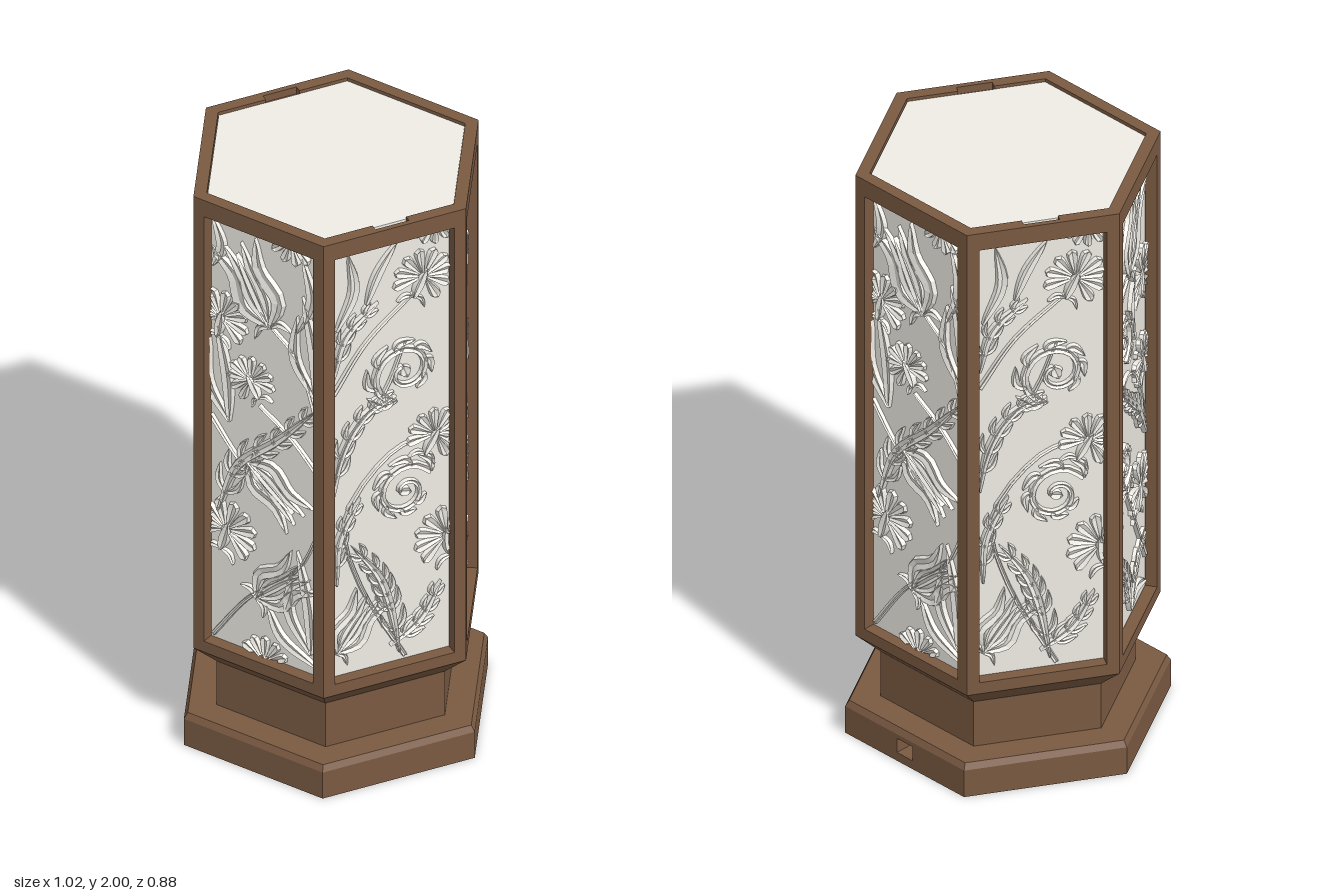
import * as THREE from 'three';

const wood = new THREE.MeshStandardMaterial({ color: 0x7a5a42, flatShading: true });
const pale = new THREE.MeshStandardMaterial({ color: 0xf0ede6, flatShading: true, side: THREE.DoubleSide });
const C30 = Math.cos(Math.PI / 6), RAD = Math.PI / 180;
const WIN = { x: 0.2, y0: 0.385, y1: 1.94 };

function add(parent, name, geo, mat = wood) {
  const m = new THREE.Mesh(geo, mat);
  m.name = name;
  parent.add(m);
  return m;
}

// Six-sided prism or frustum with corners on the x axis
function hexPrism(r0, r1, y0, y1, open = false) {
  return new THREE.CylinderGeometry(r1, r0, y1 - y0, 6, 1, open, Math.PI / 6).translate(0, (y0 + y1) / 2, 0);
}

function hexPoints(r) {
  return Array.from({ length: 6 }, (_, i) => new THREE.Vector2(r * Math.cos(i * 60 * RAD), r * Math.sin(i * 60 * RAD)));
}

function rectPath(x0, y0, x1, y1) {
  return new THREE.Path([[x0, y0], [x1, y0], [x1, y1], [x0, y1]].map(p => new THREE.Vector2(...p)));
}

// One wall of a hexagonal box: mitred at the ends, optionally pierced
function wall(r, thick, y0, y1, hole) {
  const s = new THREE.Shape(rectPath(-r / 2, y0, r / 2, y1).getPoints());
  if (hole) s.holes.push(hole);
  const g = new THREE.ExtrudeGeometry(s, { depth: thick, bevelEnabled: false });
  const p = g.attributes.position, inner = r / 2 - thick * Math.tan(30 * RAD);
  for (let i = 0; i < p.count; i++) {
    if (p.getZ(i) < thick / 2 && Math.abs(p.getX(i)) > r / 2 - 1e-4) p.setX(i, Math.sign(p.getX(i)) * inner);
  }
  g.translate(0, 0, r * C30 - thick);
  g.computeVertexNormals();
  return g;
}

// Width rules for the carved strokes
const WIDTH = {
  stem: t => 1 - 0.5 * t,
  leaf: t => Math.pow(Math.sin(Math.PI * Math.min(1, 0.04 + 0.96 * t)), 0.8),
  petal: t => (0.15 + 0.85 * t) * Math.sqrt(1 - Math.pow(t, 6)),
};

// Collects carved strokes of one panel in panel coordinates (x across, y up)
function carver() {
  const pos = [], idx = [];
  const section = [[-1, 0], [-0.75, 1], [0, 0.55], [0.75, 1], [1, 0]];

  function stroke(pts, w, kind = 'leaf', h = 0.013, n = 10) {
    const curve = new THREE.CatmullRomCurve3(pts.map(p => new THREE.Vector3(p[0], p[1], 0)));
    const base = pos.length / 3;
    for (let i = 0; i <= n; i++) {
      const t = i / n, c = curve.getPoint(t), d = curve.getTangent(t), k = w * WIDTH[kind](t);
      for (const [a, z] of section) {
        const x = c.x - d.y * a * k, y = c.y + d.x * a * k;
        const cx = THREE.MathUtils.clamp(x, -WIN.x, WIN.x), cy = THREE.MathUtils.clamp(y, WIN.y0, WIN.y1);
        pos.push(cx, cy, cx === x && cy === y ? z * h : 0);
      }
    }
    for (let i = 0; i < n; i++) for (let j = 0; j < 4; j++) {
      const a = base + i * 5 + j, b = a + 5;
      idx.push(a, b, b + 1, a, b + 1, a + 1);
    }
  }

  // Local frame: angle 0 points up, positive leans to +x
  const at = (x, y, deg, s) => (u, v) => {
    const c = Math.cos(deg * RAD), n = Math.sin(deg * RAD);
    return [x + s * (u * c + v * n), y + s * (v * c - u * n)];
  };
  const stem = pts => stroke(pts, 0.008, 'stem', 0.012, 16);

  function tulip(x, y, deg, s) {
    const L = at(x, y, deg, s);
    for (const m of [-1, 1]) {
      stroke([L(0, 0), L(m * 0.27, 0.3), L(m * 0.2, 0.7), L(m * 0.36, 1.1)], s * 0.11);
      stroke([L(0, 0.05), L(m * 0.1, 0.35), L(m * 0.08, 0.7), L(m * 0.13, 1.08)], s * 0.08);
      stroke([L(0, 0), L(m * 0.15, 0.02), L(m * 0.28, -0.1)], s * 0.045);
    }
    stroke([L(0, 0), L(0, 0.5), L(0, 0.95)], s * 0.06, 'leaf', 0.016);
  }

  function carnation(x, y, deg, s) {
    for (let i = -4; i <= 4; i++) {
      const L = at(x, y, deg + i * 29, s), b = i * 0.02;
      stroke([L(0, 0.16), L(b, 0.6), L(b * 2, 1)], s * 0.24, 'petal', 0.014, 8);
    }
    const L = at(x, y, deg, s);
    stroke([L(0, -0.75), L(0, -0.3), L(0, 0.3)], s * 0.17, 'leaf', 0.017);
    for (const m of [-1, 1]) stroke([L(0, -0.7), L(m * 0.3, -0.75), L(m * 0.5, -1)], s * 0.08);
  }

  // Spiral tendril edged with curling leaflets
  function scroll(x, y, r, deg, dir = 1) {
    const P = (t, k = 1, o = 0) => {
      const a = (deg + dir * (t * 500 + o)) * RAD, q = r * k * (1 - 0.8 * t);
      return [x + q * Math.sin(a), y + q * Math.cos(a)];
    };
    stroke(Array.from({ length: 14 }, (_, i) => P(i / 13)), r * 0.13, 'stem', 0.014, 28);
    for (let i = 0; i < 7; i++) {
      const t = i * 0.09;
      stroke([P(t), P(t, 1.22, 14), P(t, 1.3, 42)], r * 0.13);
    }
    stroke([P(1), [x, y], P(1, 1, 180)], r * 0.2);
  }

  // Long feathered leaf with serrated side lobes
  function frond(pts, w, lobes = 6) {
    stroke(pts, w * 0.45, 'leaf', 0.015, 14);
    const c = new THREE.CatmullRomCurve3(pts.map(p => new THREE.Vector3(p[0], p[1], 0)));
    for (let i = 1; i <= lobes; i++) for (const m of [-1, 1]) {
      const t = i / (lobes + 1), p = c.getPoint(t), d = c.getTangent(t), q = w * (1.5 - 0.8 * t);
      const L = (a, b) => [p.x + q * (d.x * b - d.y * a * m), p.y + q * (d.y * b + d.x * a * m)];
      stroke([L(0, 0), L(0.6, 0.6), L(0.8, 1.7)], w * 0.3, 'leaf', 0.012, 6);
    }
  }

  function geometry() {
    const g = new THREE.BufferGeometry();
    g.setAttribute('position', new THREE.Float32BufferAttribute(pos, 3));
    g.setIndex(idx);
    g.computeVertexNormals();
    return g;
  }
  return { stroke, stem, tulip, carnation, scroll, frond, geometry };
}

function tulipPanel() {
  const c = carver();
  c.stem([[-0.19, 0.4], [-0.06, 0.58], [0.12, 0.75], [0.2, 0.92]]);
  c.stem([[0.2, 1.3], [0.12, 1.52], [0.03, 1.6]]);
  c.stem([[0.2, 1.12], [0.1, 1.22], [-0.02, 1.3]]);
  c.stem([[-0.2, 1.2], [-0.1, 1.08], [0.02, 0.98]]);
  c.tulip(0.02, 1.6, -28, 0.27);
  c.tulip(-0.06, 1.08, 128, 0.22);
  c.tulip(-0.03, 0.59, 48, 0.22);
  c.carnation(-0.16, 1.57, 10, 0.1);
  c.carnation(-0.05, 1.38, -30, 0.085);
  c.carnation(-0.14, 0.8, 15, 0.11);
  c.carnation(0, 0.37, 0, 0.09);
  c.carnation(0.1, 1.95, 200, 0.09);
  c.frond([[-0.17, 0.86], [-0.1, 1.05], [0.05, 1.2], [0.19, 1.36]], 0.04, 7);
  for (const [x, y] of [[0.19, 1.4], [0.17, 0.46], [-0.13, 1.2]]) {
    c.stroke([[x, y], [x - 0.08, y + 0.12], [x - 0.07, y + 0.28]], 0.022);
    c.stroke([[x, y], [x - 0.01, y + 0.16], [x - 0.05, y + 0.36]], 0.022);
  }
  c.stroke([[0.19, 0.42], [0.06, 0.48], [0.01, 0.58]], 0.02);
  c.stroke([[-0.19, 1.75], [-0.16, 1.83], [-0.19, 1.93]], 0.02);
  c.stroke([[0.12, 1.62], [0.17, 1.75], [0.14, 1.9]], 0.02);
  return c.geometry();
}

function scrollPanel() {
  const c = carver();
  c.stem([[0.05, 0.4], [-0.1, 0.7], [-0.15, 0.95], [0, 1.15], [0.17, 1.2]]);
  c.stem([[-0.2, 1.05], [-0.13, 1.25], [-0.02, 1.38], [0.05, 1.55]]);
  c.stem([[-0.19, 1.42], [-0.08, 1.58], [0.08, 1.72]]);
  c.scroll(0.05, 1.44, 0.11, 200);
  c.scroll(0.05, 1.0, 0.1, 60, -1);
  c.carnation(0.11, 1.77, 25, 0.1);
  c.carnation(0.15, 1.18, 30, 0.095);
  c.carnation(0.19, 0.8, -10, 0.11);
  c.carnation(0.15, 1.96, 180, 0.08);
  c.tulip(-0.18, 0.47, 35, 0.2);
  c.frond([[0.03, 0.42], [0.0, 0.6], [-0.04, 0.72], [-0.13, 0.85]], 0.036);
  c.frond([[-0.19, 1.05], [-0.16, 1.2], [-0.08, 1.32], [0.02, 1.36]], 0.032);
  c.frond([[-0.19, 1.48], [-0.15, 1.62], [-0.04, 1.72]], 0.03, 4);
  c.frond([[0.0, 0.45], [0.1, 0.52], [0.17, 0.64]], 0.03, 4);
  c.frond([[-0.18, 0.72], [-0.17, 0.88], [-0.1, 1.02]], 0.03, 4);
  c.stroke([[-0.18, 1.65], [-0.12, 1.78], [-0.14, 1.92]], 0.02);
  c.stroke([[-0.08, 1.72], [-0.04, 1.82], [0.02, 1.92]], 0.018);
  return c.geometry();
}

function mixedPanel() {
  const c = carver();
  c.stem([[0.19, 0.5], [0.05, 0.72], [-0.05, 0.88], [-0.17, 1.1]]);
  c.stem([[-0.18, 1.2], [-0.02, 1.28], [0.12, 1.15], [0.19, 0.95]]);
  c.stem([[-0.18, 1.5], [-0.1, 1.58], [0, 1.63]]);
  c.tulip(-0.02, 1.63, 22, 0.27);
  c.carnation(0.13, 1.55, 10, 0.1);
  c.carnation(0.14, 1.24, -20, 0.09);
  c.carnation(0.11, 0.8, 10, 0.11);
  c.carnation(-0.19, 1.18, 10, 0.09);
  c.carnation(-0.19, 0.8, 10, 0.1);
  c.carnation(0.18, 1.95, 200, 0.08);
  c.scroll(-0.07, 1.42, 0.09, 160, -1);
  c.scroll(-0.06, 0.97, 0.09, 120);
  c.frond([[0.0, 0.42], [-0.04, 0.55], [-0.12, 0.66]], 0.036, 5);
  c.frond([[0.18, 0.95], [0.1, 1.08], [0.0, 1.17], [-0.12, 1.28]], 0.034);
  c.frond([[0.02, 0.45], [0.08, 0.55], [0.17, 0.6]], 0.03, 4);
  c.stroke([[-0.17, 1.52], [-0.16, 1.68], [-0.08, 1.84]], 0.022);
  c.stroke([[0.06, 1.36], [0.02, 1.48], [0.05, 1.6]], 0.02);
  c.stroke([[0.18, 0.42], [0.08, 0.45], [0.02, 0.42]], 0.02);
  return c.geometry();
}

export function createModel() {
  const model = new THREE.Group();
  model.name = 'hexagonalLantern';

  // Plinth walls, with a cable hole at the back
  for (let i = 0; i < 6; i++) {
    const hole = i === 3 ? rectPath(-0.033, 0.03, 0.033, 0.08) : null;
    add(model, 'plinthWall', wall(0.51, 0.07, 0, 0.095, hole)).rotation.y = i * 60 * RAD;
  }
  add(model, 'plinthChamfer', hexPrism(0.51, 0.497, 0.095, 0.115));
  add(model, 'neck', hexPrism(0.4, 0.4, 0.115, 0.275));
  add(model, 'corbel', hexPrism(0.4, 0.478, 0.275, 0.345));

  // Underside plate with a round slotted cover
  const plate = new THREE.Shape(hexPoints(0.45));
  plate.holes.push(new THREE.Path().absarc(0, 0, 0.36, 0, Math.PI * 2, true));
  const cover = new THREE.Shape().absarc(0, 0, 0.356, 0, Math.PI * 2, false);
  cover.holes.push(rectPath(-0.075, -0.006, 0.075, 0.006));
  for (const [name, shape] of [['bottomPlate', plate], ['bottomCover', cover]]) {
    const g = new THREE.ExtrudeGeometry(shape, { depth: 0.015, bevelEnabled: false, curveSegments: 32 });
    add(model, name, g.rotateX(Math.PI / 2).translate(0, 0.015, 0));
  }

  // Window frames and carved panels; three designs repeat twice around
  const designs = [tulipPanel(), scrollPanel(), mixedPanel()];
  for (let i = 0; i < 6; i++) {
    const side = new THREE.Group();
    side.name = 'lanternSide';
    side.rotation.y = i * 60 * RAD;
    add(side, 'windowFrame', wall(0.478, 0.039, 0.345, 1.975, rectPath(-WIN.x, WIN.y0, WIN.x, WIN.y1)));
    add(side, 'floralRelief', designs[i % 3], pale).position.z = 0.3735;
    model.add(side);
  }
  add(model, 'diffuser', hexPrism(0.431, 0.431, 0.345, 1.99), pale);

  // Top rim with two finger notches on opposite sides
  const rim = new THREE.Shape(hexPoints(0.478)), opening = [];
  hexPoints(0.433).forEach((p, i, all) => {
    opening.push(p);
    if (i % 3) return;
    const q = all[(i + 1) % 6], a = (i * 60 + 30) * RAD;
    const out = new THREE.Vector2(Math.cos(a), Math.sin(a)).multiplyScalar(0.022);
    const n0 = p.clone().lerp(q, 0.37), n1 = p.clone().lerp(q, 0.63);
    opening.push(n0, n0.clone().add(out), n1.clone().add(out), n1);
  });
  rim.holes.push(new THREE.Path(opening));
  const rimGeo = new THREE.ExtrudeGeometry(rim, { depth: 0.025, bevelEnabled: false });
  add(model, 'topRim', rimGeo.rotateX(Math.PI / 2).translate(0, 2, 0));
  return model;
}
